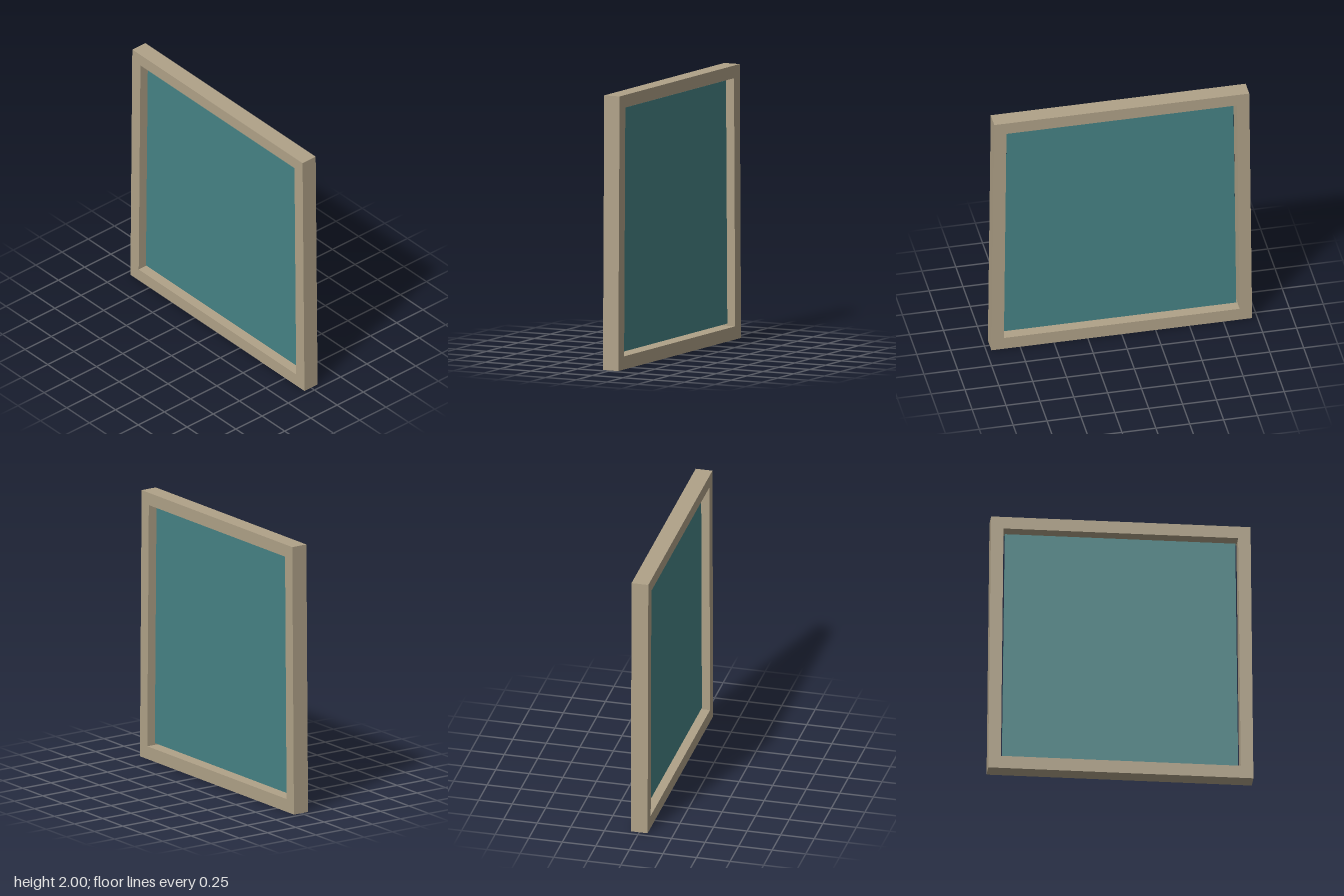
import * as THREE from 'three';

const DEPTH = 0.125;
const PANE_DEPTH = 0.01;

// Corners of a symmetric trapezoid, counter-clockwise
function trapezoid(bottomHalf, topHalf, y0, y1) {
  return [[-bottomHalf, y0], [bottomHalf, y0], [topHalf, y1], [-topHalf, y1]]
    .map(([x, y]) => new THREE.Vector2(x, y));
}

// Extrudes a shape, centred on z = 0
function slab(name, shape, depth, material) {
  const geometry = new THREE.ExtrudeGeometry(shape, { depth, bevelEnabled: false });
  geometry.translate(0, 0, -depth / 2);
  const mesh = new THREE.Mesh(geometry, material);
  mesh.name = name;
  return mesh;
}

export function createModel() {
  const frameMaterial = new THREE.MeshStandardMaterial({ color: 0xb0a288 });
  frameMaterial.name = 'beige frame';
  const paneMaterial = new THREE.MeshStandardMaterial({ color: 0x468385 });
  paneMaterial.name = 'teal glass';

  const group = new THREE.Group();
  group.name = 'window';

  // Frame, slightly narrower at the top, with a matching opening
  const frameShape = new THREE.Shape(trapezoid(0.962, 0.941, 0, 2));
  frameShape.holes.push(new THREE.Path(trapezoid(0.87, 0.851, 0.096, 1.908).reverse()));
  group.add(slab('frame', frameShape, DEPTH, frameMaterial));

  // Thin pane in the middle of the frame, with a narrow gap all round
  const paneShape = new THREE.Shape(trapezoid(0.857, 0.836, 0.114, 1.89));
  group.add(slab('pane', paneShape, PANE_DEPTH, paneMaterial));

  return group;
}
